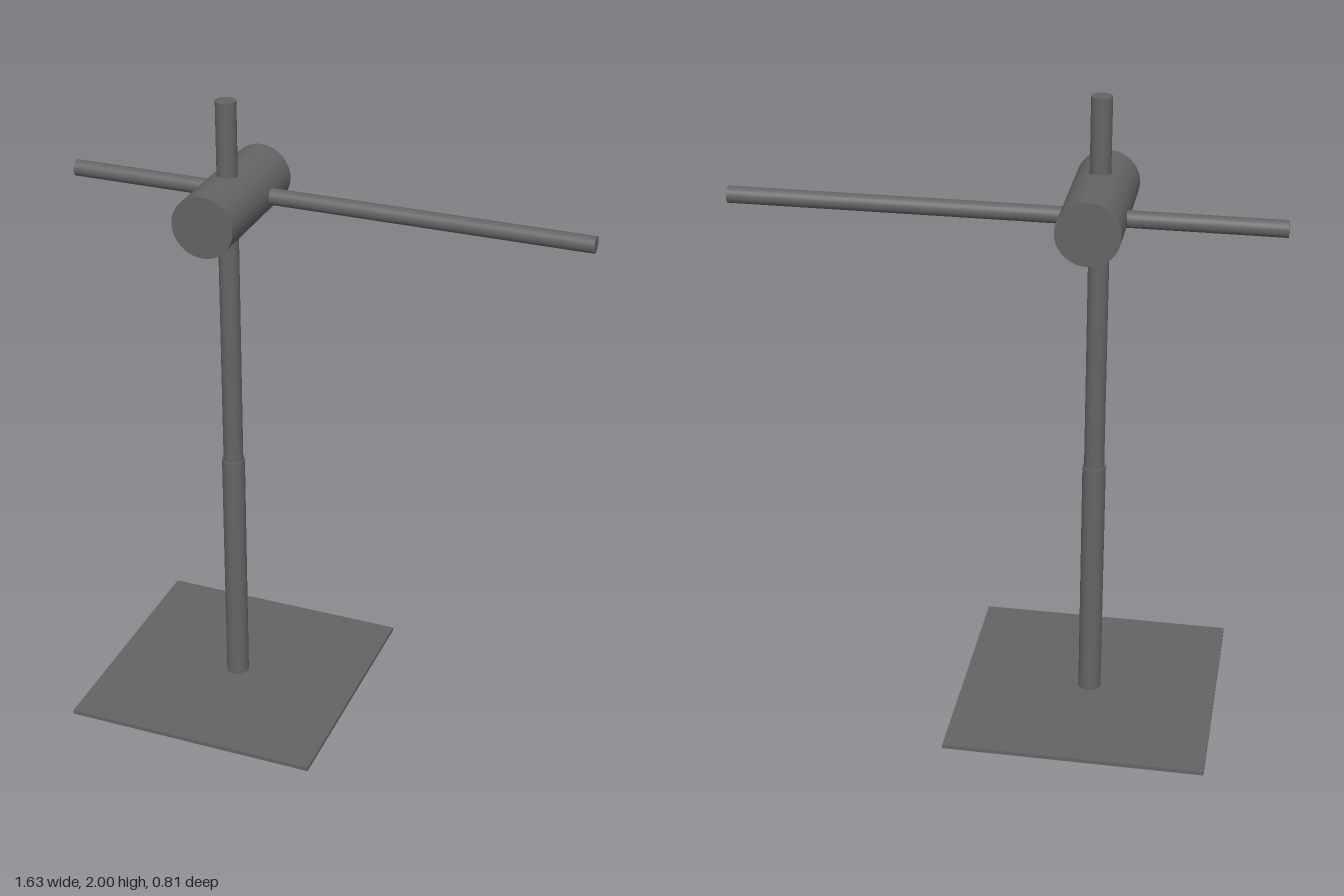
import * as THREE from 'three';

const POST_X = -0.265;

export function createModel() {
  const model = new THREE.Group();
  model.name = 'laboratoryStand';
  const material = new THREE.MeshStandardMaterial({ color: 0x646464 });

  const add = (name, geometry, x, y, z) => {
    const mesh = new THREE.Mesh(geometry, material);
    mesh.name = name;
    mesh.position.set(x, y, z);
    model.add(mesh);
    return mesh;
  };
  const rod = (radius, length) => new THREE.CylinderGeometry(radius, radius, length, 48);

  // Thin square foot plate
  const plate = 0.013;
  add('basePlate', new THREE.BoxGeometry(0.813, plate, 0.813), POST_X, plate / 2, 0);

  // Telescoping post: wider sleeve below, slimmer rod above
  const sleeveTop = 0.82;
  add('lowerPost', rod(0.036, sleeveTop - plate), POST_X, (sleeveTop + plate) / 2, 0);
  add('upperPost', rod(0.031, 2 - sleeveTop), POST_X, (2 + sleeveTop) / 2, 0);

  // Clamp barrel lying front to back around the post
  add('clampBarrel', rod(0.095, 0.448), POST_X, 1.681, -0.035).rotation.x = Math.PI / 2;

  // Horizontal arm passing through the clamp behind the post
  add('crossArm', rod(0.025, 1.626), 0, 1.678, -0.108).rotation.z = Math.PI / 2;

  return model;
}
